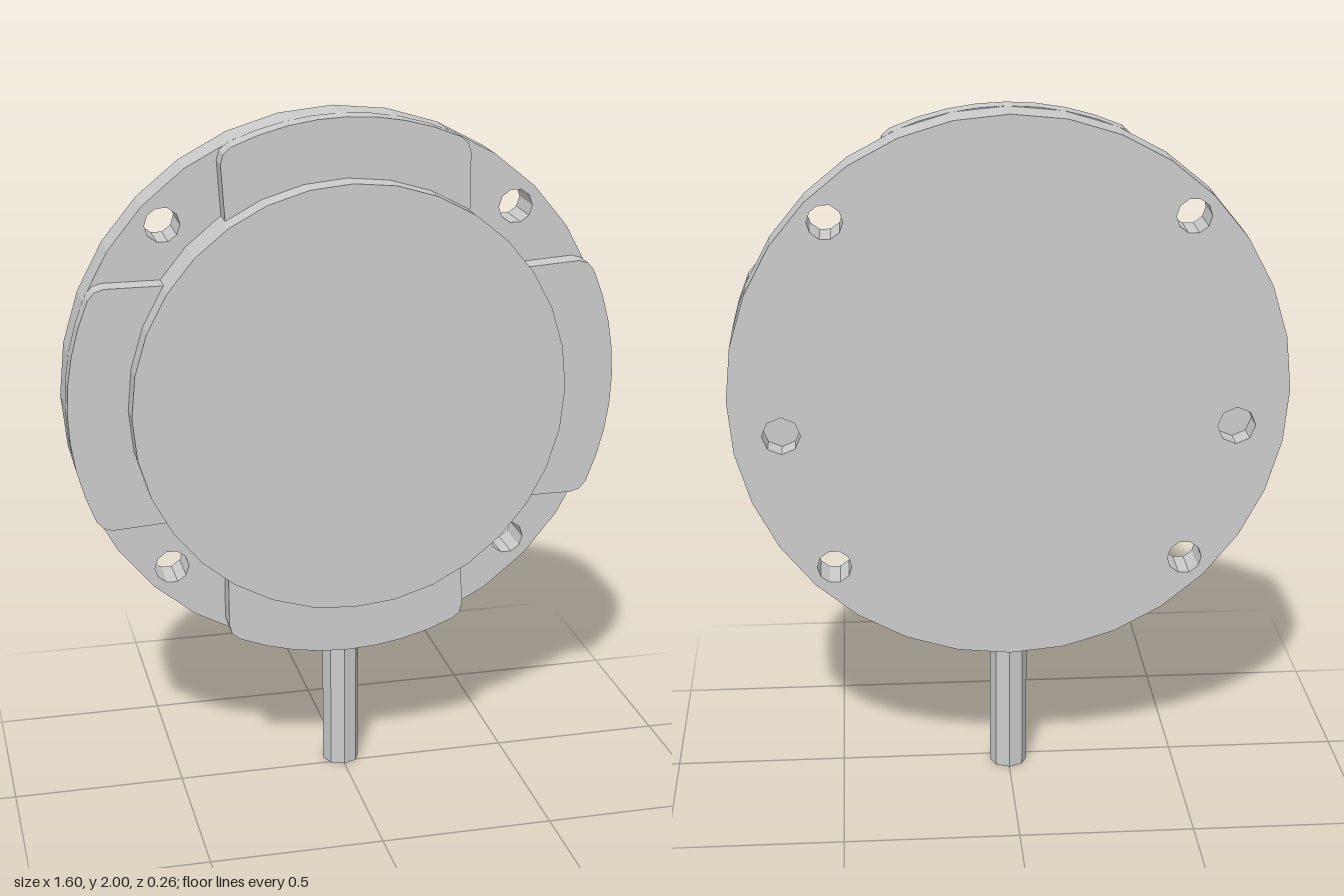
import * as THREE from 'three';

const CY = 1.2;         // height of the disc centre
const R = 0.8;          // flange radius
const RF = 0.63;        // front disc radius
const BACK = -0.13, STEP = -0.01, PAD = 0.055, FRONT = 0.13;

const material = new THREE.MeshStandardMaterial({ color: 0xcccccc, flatShading: true });

function circlePoints(x, y, r, sides) {
  return Array.from({ length: sides }, (_, i) => {
    const a = (i / sides) * Math.PI * 2;
    return new THREE.Vector2(x + r * Math.cos(a), y + r * Math.sin(a));
  });
}

// Extrude an outline from z0 to z1
function slab(name, points, z0, z1, holes = []) {
  const shape = new THREE.Shape(points);
  shape.holes = holes.map((h) => new THREE.Path(h));
  const geometry = new THREE.ExtrudeGeometry(shape, { depth: z1 - z0, bevelEnabled: false });
  geometry.translate(0, 0, z0);
  const mesh = new THREE.Mesh(geometry, material);
  mesh.name = name;
  return mesh;
}

// Raised rim segment at the top, cut straight at both sides with eased outer corners
function padOutline() {
  const half = 0.355, steps = 8, pts = [];
  const outer = Math.asin(0.325 / R), inner = Math.asin(half / RF);
  const inside = RF - 0.02;
  pts.push(new THREE.Vector2(half, Math.sqrt(inside * inside - half * half)));
  pts.push(new THREE.Vector2(half, 1.885 - CY));
  pts.push(new THREE.Vector2(0.347, 1.912 - CY));
  for (let i = 0; i <= steps; i++) {
    const a = outer * (1 - (2 * i) / steps);
    pts.push(new THREE.Vector2(R * Math.sin(a), R * Math.cos(a)));
  }
  pts.push(new THREE.Vector2(-0.347, 1.912 - CY));
  pts.push(new THREE.Vector2(-half, 1.885 - CY));
  for (let i = 0; i < steps; i++) {
    const a = inner * (-1 + (2 * i) / steps);
    pts.push(new THREE.Vector2(inside * Math.sin(a), inside * Math.cos(a)));
  }
  return pts;
}

export function createModel() {
  const model = new THREE.Group();
  model.name = 'discOnStem';

  const disc = new THREE.Group();
  disc.name = 'disc';
  disc.position.y = CY;
  model.add(disc);

  // Flange with four bolt holes and two recesses in the back
  const holes = [];
  for (const sx of [-1, 1]) {
    for (const sy of [-1, 1]) holes.push(circlePoints(sx * 0.51, sy * 0.51, 0.05, 10));
    holes.push(circlePoints(sx * 0.65, -0.106, 0.055, 8));
  }
  disc.add(slab('flange', circlePoints(0, 0, R, 32), BACK, STEP, holes));

  // Floors of the two back recesses
  for (const sx of [-1, 1]) {
    disc.add(slab('recessFloor', circlePoints(sx * 0.65, -0.106, 0.055, 8), -0.06, STEP));
  }

  // Four raised rim pads
  for (let i = 0; i < 4; i++) {
    const pad = slab('rimPad', padOutline(), STEP, PAD);
    pad.rotation.z = (i * Math.PI) / 2;
    disc.add(pad);
  }

  // Thick front disc
  disc.add(slab('frontDisc', circlePoints(0, 0, RF, 32), STEP, FRONT));

  // Stem below the flange
  const stem = new THREE.Mesh(new THREE.CylinderGeometry(0.055, 0.055, 0.43, 8), material);
  stem.name = 'stem';
  stem.position.set(0, 0.215, -0.035);
  model.add(stem);

  return model;
}
